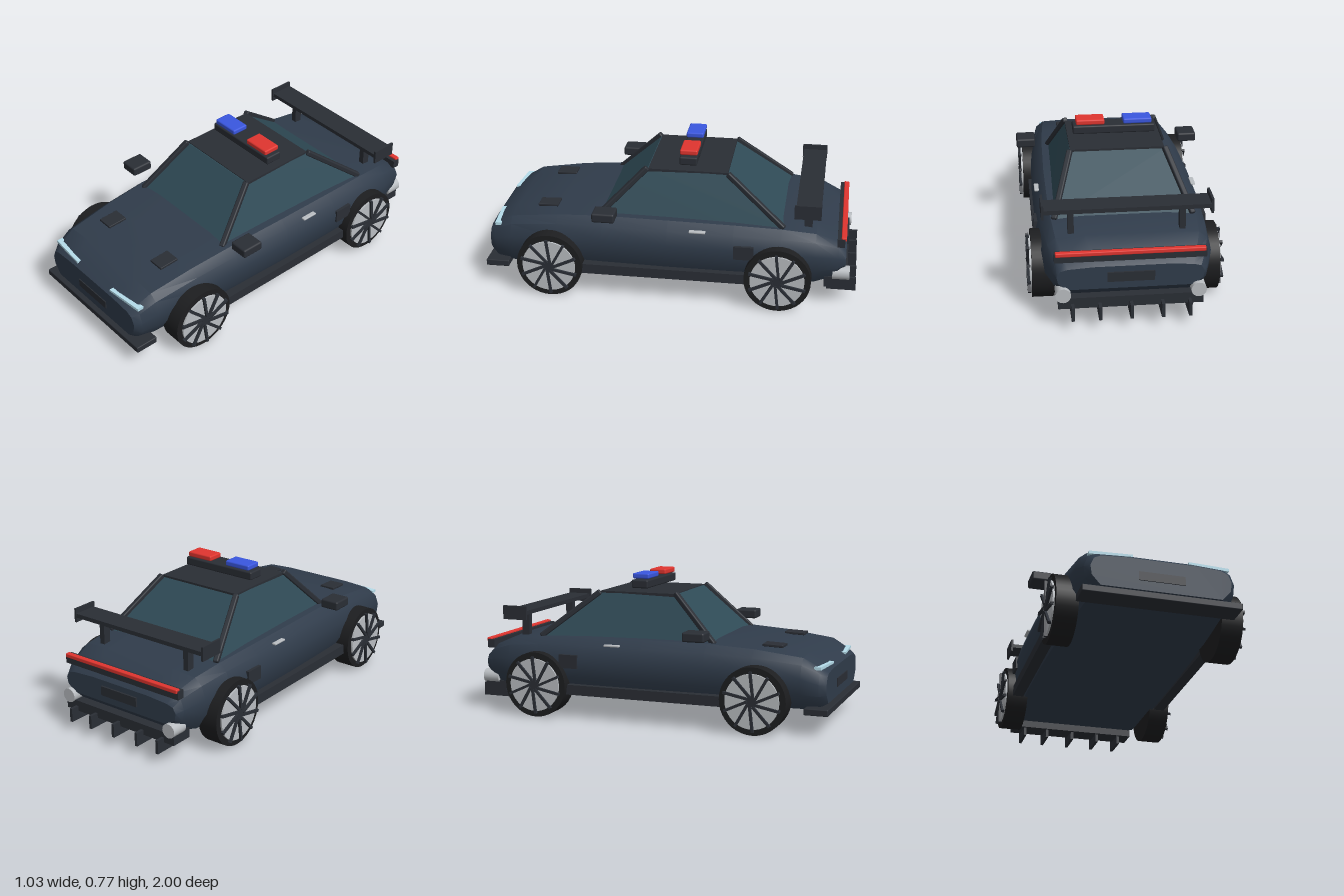
import * as THREE from 'three';
import { toCreasedNormals } from 'three/addons/utils/BufferGeometryUtils.js';
import { RoundedBoxGeometry } from 'three/addons/geometries/RoundedBoxGeometry.js';

const paint = (color) => new THREE.MeshStandardMaterial({ color });
const BODY = paint(0x303c4b), GLASS = paint(0x2f4a56), TRIM = paint(0x2a2e35), TYRE = paint(0x1d1e20);
const RED = paint(0xe0352f), BLUE = paint(0x3a57e0), METAL = paint(0xb9bdc1), LAMP = paint(0xb5dcea);

export function createModel() {
  const car = new THREE.Group();
  car.name = 'car';

  function add(name, geometry, material, parent = car) {
    const mesh = new THREE.Mesh(geometry, material);
    mesh.name = name;
    parent.add(mesh);
    return mesh;
  }

  // Box given by its limits on each axis, optionally with rounded edges
  function block(name, material, [x0, x1], [y0, y1], [z0, z1], radius = 0) {
    const size = [x1 - x0, y1 - y0, z1 - z0];
    const geometry = radius ? new RoundedBoxGeometry(...size, 2, radius) : new THREE.BoxGeometry(...size);
    const mesh = add(name, geometry, material);
    mesh.position.set((x0 + x1) / 2, (y0 + y1) / 2, (z0 + z1) / 2);
    return mesh;
  }

  // The same box on both sides of the car
  function pair(name, material, [x0, x1], y, z, radius) {
    block(name + 'Left', material, [x0, x1], y, z, radius);
    block(name + 'Right', material, [-x1, -x0], y, z, radius);
  }

  // Closed loft through rings of equal length, ordered front to back
  function loft(rings) {
    const n = rings[0].length, index = [];
    for (let i = 0; i < rings.length - 1; i++) {
      for (let j = 0; j < n; j++) {
        const a = i * n + j, b = i * n + (j + 1) % n;
        index.push(a, a + n, b, b, a + n, b + n);
      }
    }
    const last = (rings.length - 1) * n;
    for (let j = 1; j < n - 1; j++) index.push(0, j, j + 1, last, last + j + 1, last + j);
    const geometry = new THREE.BufferGeometry();
    geometry.setAttribute('position', new THREE.Float32BufferAttribute(rings.flat(2), 3));
    geometry.setIndex(index);
    return toCreasedNormals(geometry, 0.6);
  }

  // Body shell: z, half width, bottom, top
  const sections = [
    [0.98, 0.355, 0.16, 0.325], [0.945, 0.38, 0.14, 0.35], [0.855, 0.4, 0.13, 0.4], [0.6, 0.42, 0.13, 0.432],
    [0.35, 0.435, 0.13, 0.447], [0, 0.445, 0.13, 0.447], [-0.35, 0.445, 0.13, 0.443], [-0.6, 0.437, 0.13, 0.434],
    [-0.78, 0.422, 0.13, 0.415], [-0.9, 0.385, 0.16, 0.365], [-0.94, 0.365, 0.2, 0.32],
  ];
  const rings = sections.map(([z, w, y0, y1]) => {
    const h = y1 - y0;
    const half = [
      [0.86 * w, y0], [0.98 * w, y0 + 0.3 * h], [w, y0 + 0.6 * h],
      [0.95 * w, y0 + 0.85 * h], [0.85 * w, y1 - 0.008], [0.5 * w, y1],
    ];
    const mirrored = half.map(([x, y]) => [-x, y]).reverse();
    return [...half, ...mirrored].map(([x, y]) => [x, y, z]);
  });
  add('body', loft(rings), BODY);

  // Cabin glass: a frustum from the belt line to the roof
  const cabinSide = [
    [[0.335, 0.43, 0.38], [0.243, 0.67, 0.13]],
    [[0.355, 0.425, -0.61], [0.25, 0.663, -0.3]],
  ];
  add('cabinGlass', loft(cabinSide.map(([low, top]) =>
    [low, top, [-top[0], top[1], top[2]], [-low[0], low[1], low[2]]])), GLASS);
  block('roofPanel', TRIM, [-0.248, 0.248], [0.658, 0.674], [-0.3, 0.125]);

  // Windscreen and rear window pillars
  for (const s of [1, -1]) {
    cabinSide.forEach(([low, top], i) => {
      const a = new THREE.Vector3(s * low[0], low[1], low[2]);
      const b = new THREE.Vector3(s * top[0], top[1] + 0.008, top[2]);
      const pillar = add(i ? 'rearPillar' : 'frontPillar', new RoundedBoxGeometry(0.03, 0.03, a.distanceTo(b), 2, 0.008), TRIM);
      pillar.position.copy(a).lerp(b, 0.5);
      pillar.lookAt(b);
    });
  }

  // Roof light bar
  block('lightBar', TRIM, [-0.22, 0.22], [0.692, 0.737], [-0.132, -0.038], 0.008);
  block('redBeacon', RED, [0.05, 0.203], [0.742, 0.771], [-0.132, -0.038], 0.008);
  block('blueBeacon', BLUE, [-0.203, -0.05], [0.742, 0.771], [-0.132, -0.038], 0.008);

  // Rear wing
  block('wingBlade', TRIM, [-0.42, 0.42], [0.543, 0.565], [-0.8, -0.67]);
  pair('wingEndPlate', TRIM, [0.415, 0.427], [0.517, 0.592], [-0.802, -0.663]);
  pair('wingSupport', TRIM, [0.265, 0.295], [0.41, 0.55], [-0.755, -0.712]);

  // Side details
  pair('mirror', TRIM, [0.41, 0.515], [0.465, 0.515], [0.262, 0.382], 0.01);
  pair('doorHandle', METAL, [0.412, 0.437], [0.4, 0.411], [-0.205, -0.118], 0.004);
  pair('sideVent', TRIM, [0.425, 0.451], [0.273, 0.346], [-0.46, -0.355]);
  pair('sideSkirt', TRIM, [0.39, 0.45], [0.13, 0.184], [-0.6, 0.62]);

  // Front details
  block('splitter', TRIM, [-0.4, 0.4], [0.11, 0.145], [0.875, 1], 0.005);
  block('frontPlate', TRIM, [-0.117, 0.117], [0.21, 0.256], [0.97, 0.985]);
  const hoodTilt = Math.atan2(0.032, 0.255);
  pair('hoodVent', TRIM, [0.177, 0.264], [0.424, 0.438], [0.618, 0.728], 0.003);
  car.children.filter((m) => m.name.startsWith('hoodVent')).forEach((m) => { m.rotation.x = hoodTilt * 0.3; });

  // Headlights: slim bars that taper toward the middle
  const lampEnd = (x, y0, y1, z0, z1) => [[x, y0, z0], [x, y1, z0], [x, y1, z1], [x, y0, z1]];
  for (const s of [1, -1]) {
    const outer = lampEnd(0.355 * s, 0.336, 0.352, 0.95, 0.915);
    const inner = lampEnd(0.142 * s, 0.338, 0.35, 0.968, 0.935);
    add(s > 0 ? 'headlightLeft' : 'headlightRight', loft(s > 0 ? [outer, inner] : [inner, outer]), LAMP).material.side = THREE.DoubleSide;
  }

  // Rear details
  block('tailHousing', TRIM, [-0.375, 0.375], [0.345, 0.39], [-0.93, -0.89]);
  block('tailLight', RED, [-0.37, 0.37], [0.378, 0.4], [-0.938, -0.91], 0.005);
  block('rearPlate', TRIM, [-0.117, 0.117], [0.24, 0.29], [-0.95, -0.93]);
  block('diffuser', TRIM, [-0.36, 0.36], [0.103, 0.16], [-0.952, -0.83]);
  for (const x of [-0.29, -0.155, 0, 0.155, 0.29]) {
    block('diffuserFin', TRIM, [x - 0.008, x + 0.008], [0.057, 0.13], [-1, -0.845]);
  }
  for (const s of [1, -1]) {
    const pipe = add('exhaust', new THREE.CylinderGeometry(0.038, 0.038, 0.09, 24), METAL);
    pipe.rotation.x = Math.PI / 2;
    pipe.position.set(0.335 * s, 0.18, -0.918);
  }

  // Wheels: tyre, pale rim disc and dark spokes, built facing +x
  function wheel(name, side, z) {
    const group = new THREE.Group();
    group.name = name;
    const disc = (part, radius, x0, x1, material) => {
      const mesh = add(part, new THREE.CylinderGeometry(radius, radius, x1 - x0, 40), material, group);
      mesh.rotation.z = Math.PI / 2;
      mesh.position.x = (x0 + x1) / 2;
    };
    disc('tyre', 0.176, 0.365, 0.478, TYRE);
    disc('rim', 0.143, 0.47, 0.488, METAL);
    disc('hub', 0.024, 0.48, 0.498, TRIM);
    for (let i = 0; i < 10; i++) {
      const angle = i * Math.PI / 5;
      const spoke = add('spoke', new THREE.BoxGeometry(0.016, 0.135, 0.014), TRIM, group);
      spoke.position.set(0.492, 0.088 * Math.cos(angle), 0.088 * Math.sin(angle));
      spoke.rotation.x = angle + 0.12;
    }
    group.position.set(0, 0.177, z);
    if (side < 0) group.rotation.y = Math.PI;
    car.add(group);
  }
  for (const [label, side] of [['Left', 1], ['Right', -1]]) {
    wheel('frontWheel' + label, side, 0.628);
    wheel('rearWheel' + label, side, -0.59);
  }
  return car;
}
